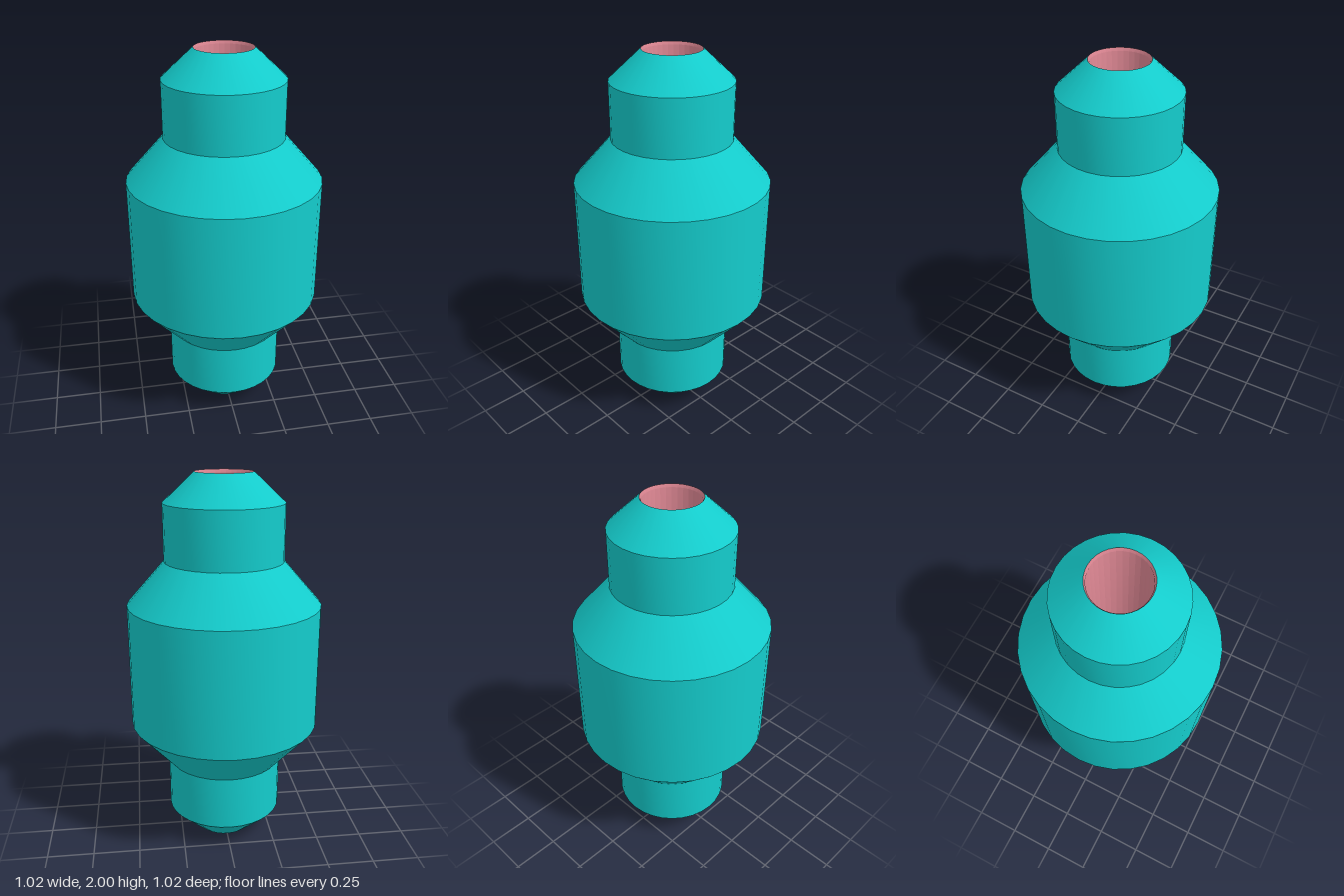
import * as THREE from 'three';
import { toCreasedNormals } from 'three/addons/utils/BufferGeometryUtils.js';

const teal = new THREE.MeshStandardMaterial({ color: 0x14cccc });
const pink = new THREE.MeshStandardMaterial({ color: 0xd98490, side: THREE.DoubleSide });
const blue = new THREE.MeshStandardMaterial({ color: 0x2a22a8 });

// Revolved surface; a profile running upwards faces outwards, downwards faces inwards.
function revolve(name, profile, sides, material) {
  const points = profile.map(([r, y]) => new THREE.Vector2(r, y));
  const geometry = toCreasedNormals(new THREE.LatheGeometry(points, sides), 0.5);
  const mesh = new THREE.Mesh(geometry, material);
  mesh.name = name;
  return mesh;
}

function box(name, size, position) {
  const mesh = new THREE.Mesh(new THREE.BoxGeometry(...size), blue);
  mesh.name = name;
  mesh.position.set(...position);
  return mesh;
}

export function createModel() {
  const model = new THREE.Group();
  model.name = 'steppedVessel';

  // Outer shell: the lower half of the profile is mirrored about y = 1
  const lower = [[0.15, 0], [0.312, 0.15], [0.312, 0.443], [0.51, 0.668]];
  const upper = lower.map(([r, y]) => [r, 2 - y]).reverse();
  model.add(revolve('outerShell', [...lower, ...upper], 32, teal));

  // Open bore through the middle, with a narrow bevelled lip at both ends
  const bore = [[0.15, 2], [0.142, 1.985], [0.142, 0.015], [0.15, 0]];
  model.add(revolve('boreLining', bore, 32, pink));

  // Four thin panels inside the bore, each with a small hooked bracket behind
  for (let i = 0; i < 4; i++) {
    const panel = new THREE.Group();
    panel.name = 'innerPanel' + (i + 1);
    panel.add(
      box('plate', [0.16, 0.66, 0.006], [0, 1, 0.117]),
      box('bracketStem', [0.006, 0.08, 0.014], [0.012, 1, 0.126]),
      box('bracketArm', [0.026, 0.08, 0.006], [0.001, 1, 0.134])
    );
    panel.rotation.y = (i * Math.PI) / 2;
    model.add(panel);
  }

  return model;
}
